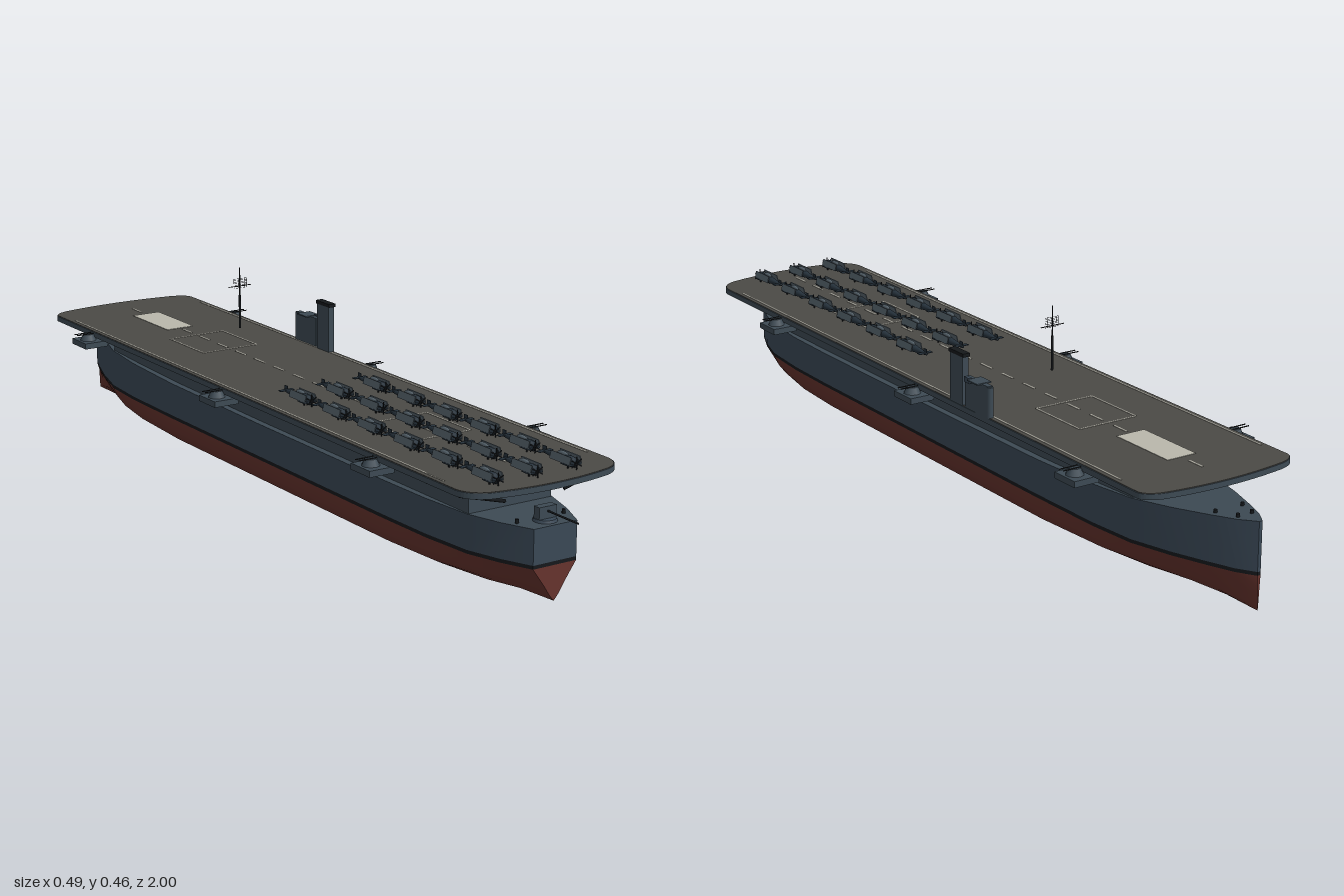
import * as THREE from 'three';

const paint = (color) => new THREE.MeshStandardMaterial({ color });
const M = {
  hull: paint(0x3a4856), red: paint(0x66332d), black: paint(0x15181b), deck: paint(0x4b4a46),
  steel: paint(0x3d4a54), line: paint(0xa9a79d), patch: paint(0xb9b7ac), plane: paint(0x26323c), wing: paint(0x55626b),
};
const twoSided = (m) => { const c = m.clone(); c.side = THREE.DoubleSide; return c; };

function add(parent, name, geo, mat, x = 0, y = 0, z = 0) {
  const m = new THREE.Mesh(geo, mat);
  m.name = name;
  m.position.set(x, y, z);
  parent.add(m);
  return m;
}
const box = (p, name, w, h, d, mat, x, y, z) => add(p, name, new THREE.BoxGeometry(w, h, d), mat, x, y, z);

// thin bar between two points
function bar(p, name, a, b, r, mat, sides = 6) {
  const A = new THREE.Vector3(...a), B = new THREE.Vector3(...b);
  const m = add(p, name, new THREE.CylinderGeometry(r, r, A.distanceTo(B), sides), mat);
  m.position.copy(A).lerp(B, 0.5);
  m.quaternion.setFromUnitVectors(new THREE.Vector3(0, 1, 0), B.sub(A).normalize());
  return m;
}

// skin over a row of equal-length cross-sections
function loft(rings) {
  const n = rings[0].length, pos = [], idx = [];
  rings.forEach((r) => r.forEach((v) => pos.push(...v)));
  for (let i = 0; i < rings.length - 1; i++)
    for (let j = 0; j < n - 1; j++) {
      const a = i * n + j, b = a + n;
      idx.push(a, a + 1, b, b, a + 1, b + 1);
    }
  const g = new THREE.BufferGeometry();
  g.setAttribute('position', new THREE.Float32BufferAttribute(pos, 3));
  g.setIndex(idx);
  g.computeVertexNormals();
  return g;
}

// hull stations from stern to bow: z, half width, bilge fullness, deck height
const stations = [
  [0.93, 0.055, 0, 0.165], [0.86, 0.085, 0.35, 0.165], [0.78, 0.109, 0.65, 0.165], [0.65, 0.12, 0.9, 0.165],
  [0.5, 0.123, 1, 0.165], [0, 0.123, 1, 0.165], [-0.4, 0.123, 1, 0.168], [-0.6, 0.12, 0.85, 0.174],
  [-0.72, 0.11, 0.65, 0.179], [-0.82, 0.082, 0.4, 0.185], [-0.9, 0.053, 0.2, 0.19], [-0.96, 0.029, 0.05, 0.194], [-1, 0.004, 0, 0.197],
];
const fullSection = [[0, 0.003], [0.65, 0.012], [0.86, 0.025], [0.97, 0.05], [1, 0.08]];
const sharpSection = [[0, 0.003], [0.2, 0.016], [0.42, 0.035], [0.7, 0.057], [1, 0.08]];

function bottomRing([z, w, f]) {
  const half = fullSection.map(([x, y], i) => {
    const s = sharpSection[i];
    return [w * THREE.MathUtils.lerp(s[0], x, f), THREE.MathUtils.lerp(s[1], y, f), z];
  });
  return [...half.slice(1).reverse().map(([x, y]) => [-x, y, z]), ...half];
}

function buildHull(g) {
  const hull = new THREE.Group();
  hull.name = 'hull';
  g.add(hull);
  const band = (name, mat, side, lo, hi) => add(hull, name,
    loft(stations.map((s) => [[side * s[1], lo, s[0]], [side * s[1], hi ?? s[3], s[0]]])), twoSided(mat));
  add(hull, 'underwaterHull', loft(stations.map(bottomRing)), twoSided(M.red));
  for (const side of [-1, 1]) {
    band('waterlineStripe', M.black, side, 0.08, 0.088);
    band('hullSide', M.hull, side, 0.088);
  }
  add(hull, 'mainDeck', loft(stations.map(([z, w, , y]) => [[-w, y, z], [w, y, z]])), twoSided(M.steel));
  // flat transom and narrow stem closing the ends
  for (const s of [stations[0], stations[stations.length - 1]]) {
    const [z, w, , top] = s;
    const ends = [['RedEnd', M.red, bottomRing(s)],
      ['StripeEnd', M.black, [[-w, 0.088, z], [-w, 0.08, z], [w, 0.08, z], [w, 0.088, z]]],
      ['UpperEnd', M.hull, [[-w, top, z], [-w, 0.088, z], [w, 0.088, z], [w, top, z]]]];
    for (const [part, mat, pts] of ends) {
      const shape = new THREE.Shape(pts.map(([x, y]) => new THREE.Vector2(x, y)));
      add(hull, (z > 0 ? 'transom' : 'stem') + part, new THREE.ShapeGeometry(shape), twoSided(mat), 0, 0, z);
    }
  }
  // bollards and winch on the foredeck and quarterdeck
  for (const [x, y, z] of [[0.035, 0.19, -0.9], [0.018, 0.194, -0.95], [0.06, 0.167, 0.9 - 0.02]])
    for (const s of [-1, 1]) add(hull, 'bollard', new THREE.CylinderGeometry(0.004, 0.004, 0.01, 8), M.black, s * x, y + 0.002, z);
}

// flight deck outline; y of the shape is -z
function deckShape(inset = 0) {
  const w = 0.197 - inset, s = new THREE.Shape();
  s.moveTo(-w, -0.855);
  s.quadraticCurveTo(-w + 0.005, -0.895, -0.15, -0.91 + inset);
  s.quadraticCurveTo(0, -0.945 + inset, 0.15, -0.91 + inset);
  s.quadraticCurveTo(w - 0.005, -0.895, w, -0.855);
  s.lineTo(w, 0.85);
  s.quadraticCurveTo(w - 0.005, 0.875, 0.15, 0.885 - inset);
  s.quadraticCurveTo(0, 0.91 - inset, -0.15, 0.885 - inset);
  s.quadraticCurveTo(-w + 0.005, 0.875, -w, 0.85);
  s.closePath();
  return s;
}

function buildFlightDeck(g) {
  const slab = (depth, inset) => new THREE.ExtrudeGeometry(deckShape(inset), { depth, bevelEnabled: false, curveSegments: 10 }).rotateX(-Math.PI / 2);
  add(g, 'flightDeckSlab', slab(0.0125, 0), M.steel, 0, 0.2395, 0);
  add(g, 'flightDeckSurface', slab(0.0015, 0.002), M.deck, 0, 0.252, 0);
  const mark = (name, w, d, x, z, mat = M.line) => box(g, name, w, 0.001, d, mat, x, 0.2538, z);
  for (let z = -0.79; z < 0.88; z += 0.085) mark('centreDash', 0.005, 0.045, 0, z);
  for (const s of [-1, 1]) mark('edgeLine', 0.004, 1.58, s * 0.183, 0.01);
  mark('recognitionPanel', 0.074, 0.175, 0, -0.657, M.patch).position.y += 0.0005;
  // elevator outlines
  for (const z of [-0.41, 0.46])
    for (const s of [-1, 1]) {
      mark('elevatorEnd', 0.15, 0.004, 0, z + s * 0.08);
      mark('elevatorSide', 0.004, 0.16, s * 0.075, z);
    }
  // hangar box under the deck
  box(g, 'hangar', 0.213, 0.08, 1.5, M.steel, 0, 0.2, 0.03);
  box(g, 'hangarDoor', 0.06, 0.014, 0.003, M.hull, 0.06, 0.228, 0.781);
  // sloping deck supports
  for (let i = 0; i < 16; i++)
    for (const s of [-1, 1]) bar(g, 'deckSupport', [s * 0.075, 0.209, 0.86 - i * 0.109], [s * 0.19, 0.24, 0.86 - i * 0.109], 0.004, M.black, 4);
}

function buildSponsons(g) {
  for (const z of [-0.66, -0.04, 0.58])
    for (const s of [-1, 1]) {
      const p = new THREE.Group();
      p.name = 'gunSponson';
      p.position.z = z;
      g.add(p);
      box(p, 'tub', 0.062, 0.014, 0.07, M.steel, s * 0.206, 0.227, 0);
      add(p, 'gunMount', new THREE.CylinderGeometry(0.013, 0.02, 0.015, 10), M.steel, s * 0.211, 0.2415, 0);
      for (const dz of [-0.006, 0.006]) bar(p, 'gunBarrel', [s * 0.2, 0.25, dz], [s * 0.245, 0.25, dz], 0.0013, M.black);
    }
}

function buildIsland(g) {
  const p = new THREE.Group();
  p.name = 'island';
  g.add(p);
  box(p, 'funnel', 0.016, 0.113, 0.05, M.steel, 0.188, 0.308, -0.197);
  box(p, 'funnelCap', 0.018, 0.008, 0.058, M.black, 0.188, 0.368, -0.197);
  box(p, 'bridgeTower', 0.013, 0.072, 0.088, M.steel, 0.19, 0.288, -0.277);
  add(p, 'bridgeFront', new THREE.CylinderGeometry(0.0075, 0.0075, 0.07, 12), M.steel, 0.19, 0.287, -0.32);
  box(p, 'bridgePlatform', 0.037, 0.003, 0.04, M.steel, 0.19, 0.324, -0.278);
  box(p, 'lookoutBox', 0.008, 0.012, 0.02, M.hull, 0.2, 0.321, -0.25);

  // mast with yard and mesh aerial
  const m = new THREE.Group();
  m.name = 'mast';
  m.position.z = -0.283;
  g.add(m);
  bar(m, 'lowerMast', [0, 0.315, 0], [0, 0.395, 0], 0.0028, M.black, 8);
  bar(m, 'topMast', [0, 0.39, 0], [0, 0.463, 0], 0.0014, M.black);
  bar(m, 'yard', [-0.031, 0.418, 0], [0.031, 0.418, 0], 0.001, M.black);
  for (let i = 0; i <= 6; i++) {
    const x = -0.018 + i * 0.006, y = 0.414 + i * 0.0038;
    bar(m, 'aerialUpright', [x, 0.414, 0.003], [x, 0.437, 0.003], 0.0004, M.black, 4);
    bar(m, 'aerialRung', [-0.018, y, 0.003], [0.018, y, 0.003], 0.0004, M.black, 4);
  }
}

// stern gun on the quarterdeck
function buildSternGun(g) {
  const p = new THREE.Group();
  p.name = 'sternGun';
  g.add(p);
  add(p, 'base', new THREE.CylinderGeometry(0.024, 0.026, 0.006, 16), M.hull, 0, 0.168, 0.895);
  box(p, 'shield', 0.044, 0.026, 0.018, M.steel, 0, 0.184, 0.895);
  bar(p, 'barrel', [0, 0.187, 0.89], [0, 0.187, 1], 0.0022, M.black, 8);
}

// parked aircraft with wings folded back, nose toward +z
function buildPlane() {
  const p = new THREE.Group();
  p.name = 'parkedAircraft';
  const body = [[0, -0.06], [0.003, -0.058], [0.006, -0.03], [0.01, 0.005], [0.0115, 0.03], [0.0105, 0.048], [0, 0.05]];
  add(p, 'fuselage', new THREE.LatheGeometry(body.map(([r, y]) => new THREE.Vector2(r, y)), 12).rotateX(Math.PI / 2), M.plane, 0, 0.013, 0);
  add(p, 'canopy', new THREE.SphereGeometry(1, 10, 6).scale(0.005, 0.006, 0.018), M.wing, 0, 0.023, 0.01);
  add(p, 'spinner', new THREE.ConeGeometry(0.003, 0.008, 8).rotateX(Math.PI / 2), M.black, 0, 0.013, 0.054);
  for (let k = 0; k < 3; k++)
    box(p, 'propellerBlade', 0.0025, 0.03, 0.001, M.black, 0, 0.013, 0.054).rotation.z = k * Math.PI / 3;
  for (const s of [-1, 1]) {
    box(p, 'foldedWing', 0.002, 0.017, 0.065, M.wing, s * 0.0135, 0.018, 0.018).rotation.z = s * 0.25;
    box(p, 'wingRoot', 0.014, 0.003, 0.026, M.plane, s * 0.01, 0.009, 0.036);
    bar(p, 'landingLeg', [s * 0.008, 0, 0.036], [s * 0.008, 0.01, 0.036], 0.002, M.black);
  }
  box(p, 'tailplane', 0.036, 0.0015, 0.012, M.plane, 0, 0.014, -0.05);
  box(p, 'fin', 0.0015, 0.011, 0.013, M.plane, 0, 0.019, -0.051);
  return p;
}

export function createModel() {
  const g = new THREE.Group();
  g.name = 'aircraftCarrier';
  buildHull(g);
  buildFlightDeck(g);
  buildSponsons(g);
  buildIsland(g);
  buildSternGun(g);
  const plane = buildPlane();
  for (let row = 0; row < 6; row++)
    for (const x of [-0.112, -0.013, 0.087]) {
      const c = plane.clone();
      c.position.set(x, 0.2535, 0.15 + row * 0.136);
      g.add(c);
    }
  g.position.y = -0.003;
  const root = new THREE.Group();
  root.name = 'ship';
  root.add(g);
  return root;
}
